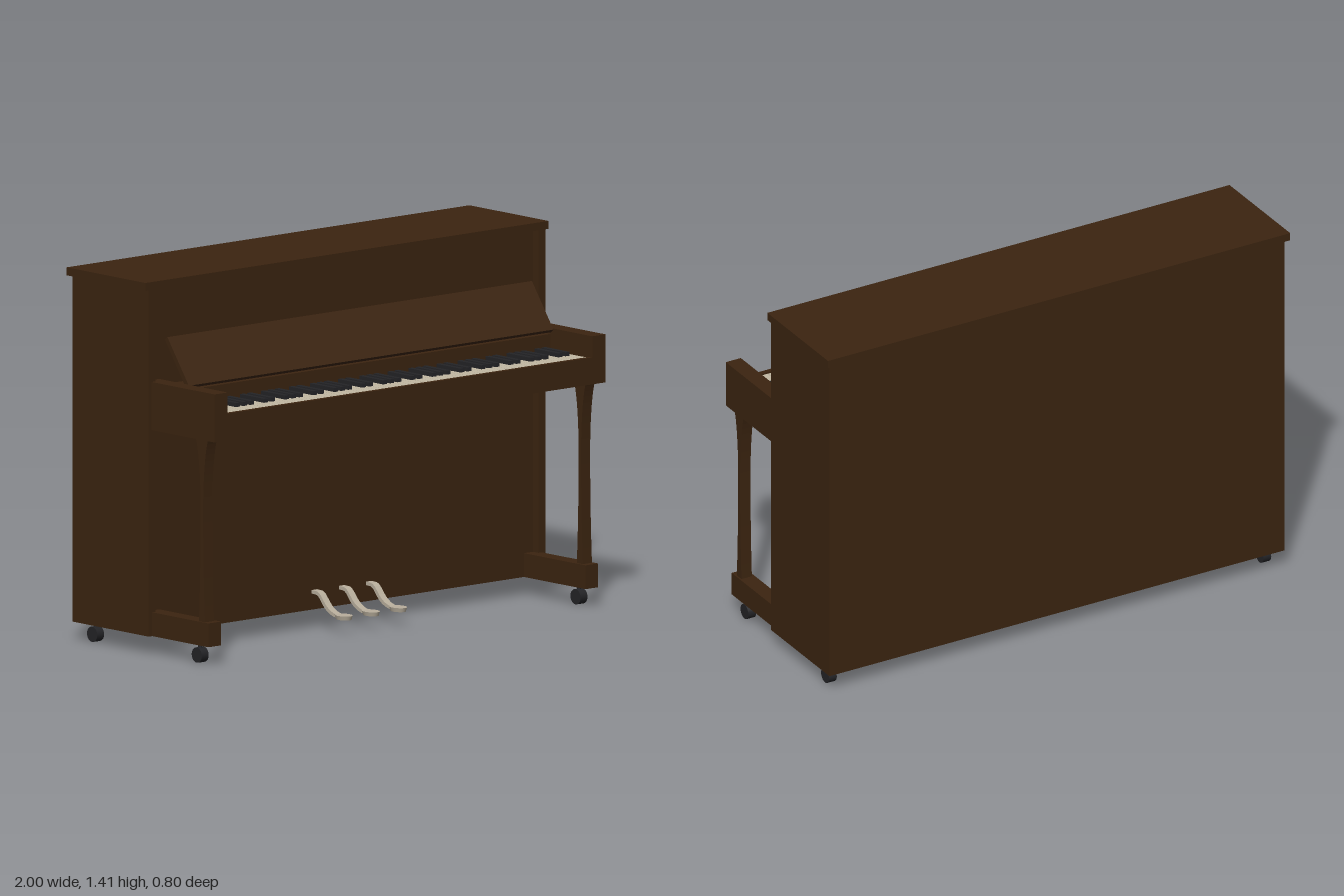
import * as THREE from 'three';

const material = (name, color) => {
  const m = new THREE.MeshStandardMaterial({ color });
  m.name = name;
  return m;
};

export function createModel() {
  const wood = material('dark walnut', 0x3b2410);
  const ivory = material('ivory', 0xc2b8a3);
  const black = material('black', 0x232326);
  const metal = material('pedal metal', 0xb8ae9c);
  const piano = new THREE.Group();
  piano.name = 'uprightPiano';

  const add = (name, geometry, mat, parent = piano) => {
    const mesh = new THREE.Mesh(geometry, mat);
    mesh.name = name;
    parent.add(mesh);
    return mesh;
  };
  // Box given by its lower and upper limits on each axis
  const box = (name, mat, [x0, x1], [y0, y1], [z0, z1], parent) => {
    const g = new THREE.BoxGeometry(x1 - x0, y1 - y0, z1 - z0);
    g.translate((x0 + x1) / 2, (y0 + y1) / 2, (z0 + z1) / 2);
    return add(name, g, mat, parent);
  };
  // Outline drawn in (z, y) and given a width along x
  const sideProfile = (shape, width) => {
    const g = new THREE.ExtrudeGeometry(shape, { depth: width, bevelEnabled: false, curveSegments: 10 });
    return g.translate(0, 0, -width / 2).rotateY(-Math.PI / 2);
  };

  // Cabinet: recessed front panel between two side panels, under a lid
  box('cabinet', wood, [-0.95, 0.95], [0.07, 1.38], [-0.385, 0.015]);
  box('lid', wood, [-1, 1], [1.38, 1.41], [-0.4, 0.045]);

  // Key bed, front slip and the strip behind the keys
  box('keyBed', wood, [-0.905, 0.905], [0.85, 0.925], [0.01, 0.4]);
  box('keySlip', wood, [-0.905, 0.905], [0.925, 0.952], [0.382, 0.4]);
  box('keyBackRail', wood, [-0.905, 0.905], [0.925, 1.01], [0.01, 0.165]);

  // Open fallboard leaning back against the cabinet
  const fall = new THREE.Shape();
  fall.moveTo(0.181, 1.028);
  fall.lineTo(0.06, 1.196);
  fall.lineTo(0.045, 1.186);
  fall.lineTo(0.166, 1.016);
  fall.closePath();
  add('fallboard', sideProfile(fall, 1.81), wood);

  // Leg outline: wide at the top, slim in the middle, slightly flared at the foot
  const leg = new THREE.Shape();
  leg.moveTo(0.335, 0.16);
  leg.bezierCurveTo(0.325, 0.36, 0.325, 0.5, 0.325, 0.6);
  leg.bezierCurveTo(0.326, 0.7, 0.335, 0.8, 0.352, 0.85);
  leg.lineTo(0.284, 0.85);
  leg.bezierCurveTo(0.301, 0.8, 0.31, 0.7, 0.311, 0.6);
  leg.bezierCurveTo(0.311, 0.5, 0.311, 0.36, 0.301, 0.16);
  leg.closePath();

  for (const [side, s] of [['left', 1], ['right', -1]]) {
    const group = new THREE.Group();
    group.name = side + 'Side';
    piano.add(group);
    const span = (a, b) => (s > 0 ? [a, b] : [-b, -a]);
    box('sidePanel', wood, span(0.95, 0.985), [0.07, 1.38], [-0.385, 0.045], group);
    box('arm', wood, span(0.905, 0.97), [0.85, 1.032], [0.01, 0.4], group);
    box('legFoot', wood, span(0.905, 0.967), [0.07, 0.16], [0.01, 0.362], group);
    add('leg', sideProfile(leg, 0.045), wood, group).position.x = s * 0.938;
    for (const z of [0.285, -0.305]) {
      const wheel = new THREE.CylinderGeometry(0.029, 0.029, 0.034, 20).rotateZ(Math.PI / 2);
      add('caster', wheel, black, group).position.set(s * 0.94, 0.029, z);
      const stem = new THREE.CylinderGeometry(0.008, 0.008, 0.03, 10);
      add('casterStem', stem, black, group).position.set(s * 0.94, 0.058, z);
    }
  }

  // Keyboard: 52 white keys, black keys in groups of two and three
  const keys = new THREE.Group();
  keys.name = 'keyboard';
  piano.add(keys);
  const count = 52, pitch = 1.81 / count;
  for (let i = 0; i < count; i++) {
    const x = -0.905 + i * pitch;
    box('whiteKey', ivory, [x + 0.0008, x + pitch - 0.0008], [0.925, 0.948], [0.16, 0.378], keys);
    if ([1, 2, 4, 5, 6].includes(i % 7))
      box('blackKey', black, [x - 0.01, x + 0.01], [0.94, 0.963], [0.16, 0.3], keys);
  }

  // Pedals: a curved arm ending in a flat oval toe
  const arm = new THREE.Shape();
  arm.moveTo(0, 0.145);
  arm.lineTo(0.045, 0.143);
  arm.bezierCurveTo(0.08, 0.135, 0.085, 0.075, 0.165, 0.068);
  arm.lineTo(0.165, 0.056);
  arm.bezierCurveTo(0.075, 0.062, 0.07, 0.125, 0.04, 0.13);
  arm.lineTo(0, 0.132);
  arm.closePath();
  for (const x of [-0.135, 0, 0.135]) {
    const pedal = new THREE.Group();
    pedal.name = 'pedal';
    pedal.position.x = x;
    piano.add(pedal);
    add('pedalArm', sideProfile(arm, 0.028), metal, pedal);
    const toe = add('pedalToe', new THREE.CylinderGeometry(0.029, 0.025, 0.016, 24), metal, pedal);
    toe.scale.z = 1.35;
    toe.position.set(0, 0.062, 0.18);
  }
  return piano;
}
